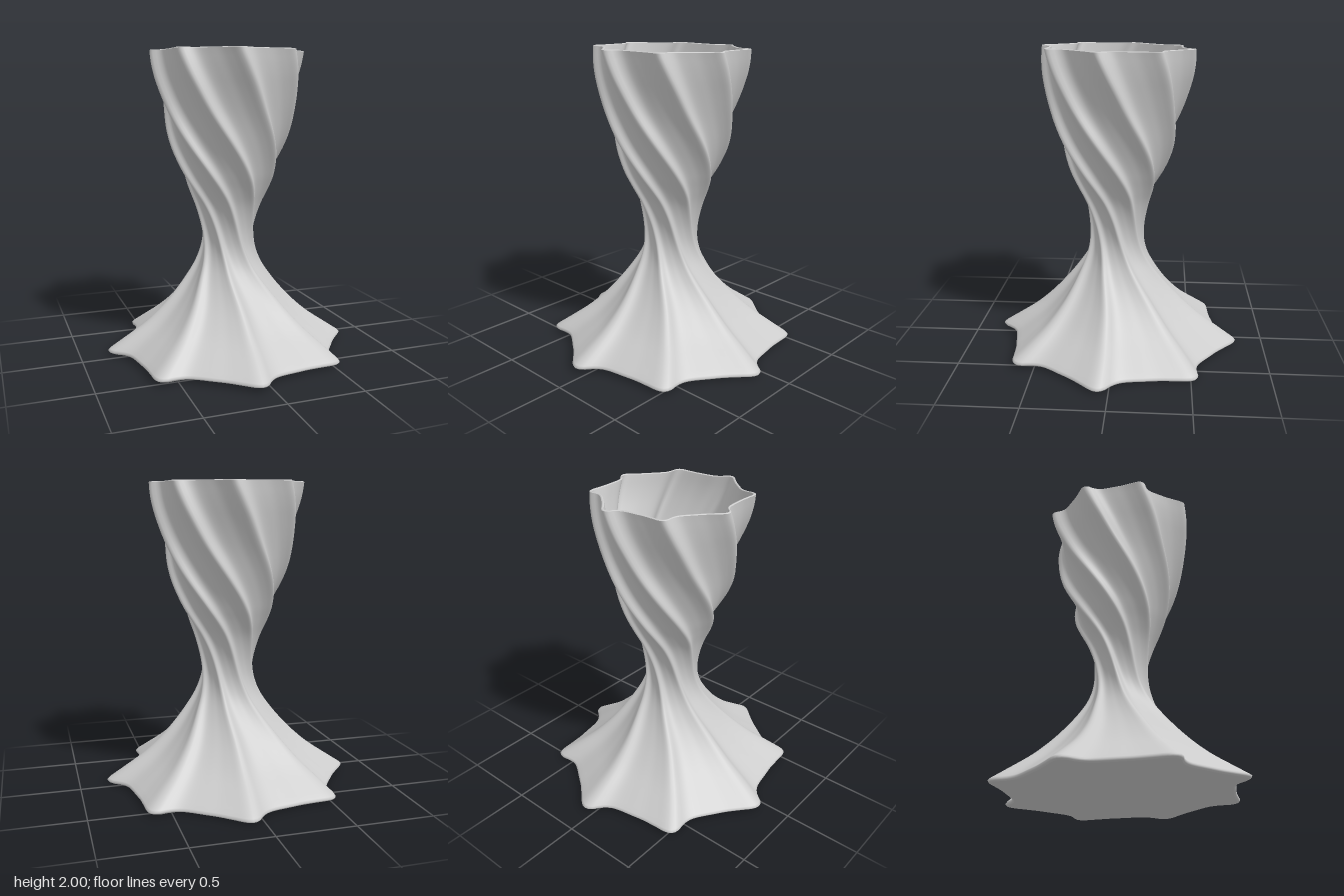
import * as THREE from 'three';

const FLUTES = 8;
const SEGMENTS = FLUTES * 26;
const STEP = 360 / FLUTES;
const V = (x, y) => new THREE.Vector2(x, y);

// Smooth interpolation through [input, value] pairs
function lookup(pairs) {
  return (x) => {
    let i = 0;
    while (i < pairs.length - 2 && x > pairs[i + 1][0]) i++;
    const p = (k) => pairs[Math.min(Math.max(k, 0), pairs.length - 1)];
    const slope = (k) => (p(k + 1)[1] - p(k - 1)[1]) / (p(k + 1)[0] - p(k - 1)[0]);
    const h = p(i + 1)[0] - p(i)[0];
    const t = THREE.MathUtils.clamp((x - p(i)[0]) / h, 0, 1);
    const t2 = t * t, t3 = t2 * t;
    return (2 * t3 - 3 * t2 + 1) * p(i)[1] + (t3 - 2 * t2 + t) * h * slope(i)
      + (3 * t2 - 2 * t3) * p(i + 1)[1] + (t3 - t2) * h * slope(i + 1);
  };
}

// Turn of the flutes in degrees, by height
const twist = lookup([[0, 0], [0.2, 0], [0.4, 4], [0.6, 17], [0.8, 36], [1, 56],
  [1.2, 78], [1.4, 99], [1.6, 117], [1.8, 130], [2, 141]]);

// One flute: relative radius by angle from the ridge, steep on one side
const flute = lookup([[-6, 0.91], [-3, 0.975], [0, 1], [3, 0.985], [8, 0.935], [15, 0.885],
  [23, 0.86], [30, 0.853], [35, 0.867], [39, 0.91], [42, 0.975], [45, 1], [48, 0.985]]);

// Ridge radius by height
const radius = lookup([[0.04, 0.81], [0.1, 0.72], [0.2, 0.575], [0.3, 0.46], [0.4, 0.365],
  [0.5, 0.285], [0.6, 0.222], [0.7, 0.188], [0.8, 0.182], [0.9, 0.196], [1, 0.225],
  [1.1, 0.27], [1.2, 0.315], [1.4, 0.385], [1.6, 0.437], [1.8, 0.485], [1.9, 0.501], [1.99, 0.507]]);

// Sweep a profile (radius, height) around the twisted flute section
function sweep(profile) {
  const pos = [], index = [];
  profile.forEach((p, j) => {
    for (let i = 0; i < SEGMENTS; i++) {
      const local = (i * 360) / SEGMENTS;
      const a = THREE.MathUtils.degToRad(local + 5 + twist(p.y));
      const r = p.x * flute(local % STEP);
      const x = r * Math.cos(a), z = r * Math.sin(a);
      pos.push(x, p.y - 0.006 * x + 0.012 * z, z); // slight lean
      if (j === profile.length - 1) continue;
      const k = j * SEGMENTS + i, n = j * SEGMENTS + ((i + 1) % SEGMENTS);
      index.push(k, k + SEGMENTS, n, n, k + SEGMENTS, n + SEGMENTS);
    }
  });
  const geo = new THREE.BufferGeometry();
  geo.setAttribute('position', new THREE.Float32BufferAttribute(pos, 3));
  geo.setIndex(index);
  geo.computeVertexNormals();
  return geo;
}

export function createModel() {
  const group = new THREE.Group();
  const material = new THREE.MeshStandardMaterial({ color: 0xcccccc });
  const add = (name, profile) => {
    const mesh = new THREE.Mesh(sweep(profile), material);
    mesh.name = name;
    group.add(mesh);
  };

  // Wall profiles; the inner one is offset by the wall thickness
  const outer = [], inner = [];
  const rows = 80, wall = 0.017;
  for (let j = 0; j <= rows; j++) {
    const y = 0.04 + (1.95 * j) / rows;
    outer.push(V(radius(y), y));
    const s = (radius(Math.min(y + 0.01, 1.99)) - radius(Math.max(y - 0.01, 0.04))) / 0.02;
    const n = Math.hypot(1, s);
    const iy = j === rows ? y : Math.min(y + (wall * s) / n, 1.985);
    inner.unshift(V(radius(y) - wall / n, Math.max(iy, 0.03)));
  }

  // Outer wall with the rounded foot edge
  add('outerWall', [V(0.8, 0.012), V(0.815, 0.018), V(0.822, 0.028), ...outer]);

  // Thin rim
  const lip = outer[rows];
  add('rim', [lip, V(lip.x - 0.005, 1.994), V(lip.x - 0.012, 1.994), inner[0]]);

  add('innerWall', inner);

  // Floor inside and flat underside
  const last = inner[rows];
  add('floor', [last, V(0.4, last.y), V(0, last.y)]);
  add('underside', [V(0, 0.012), V(0.4, 0.012), V(0.8, 0.012)]);

  return group;
}
